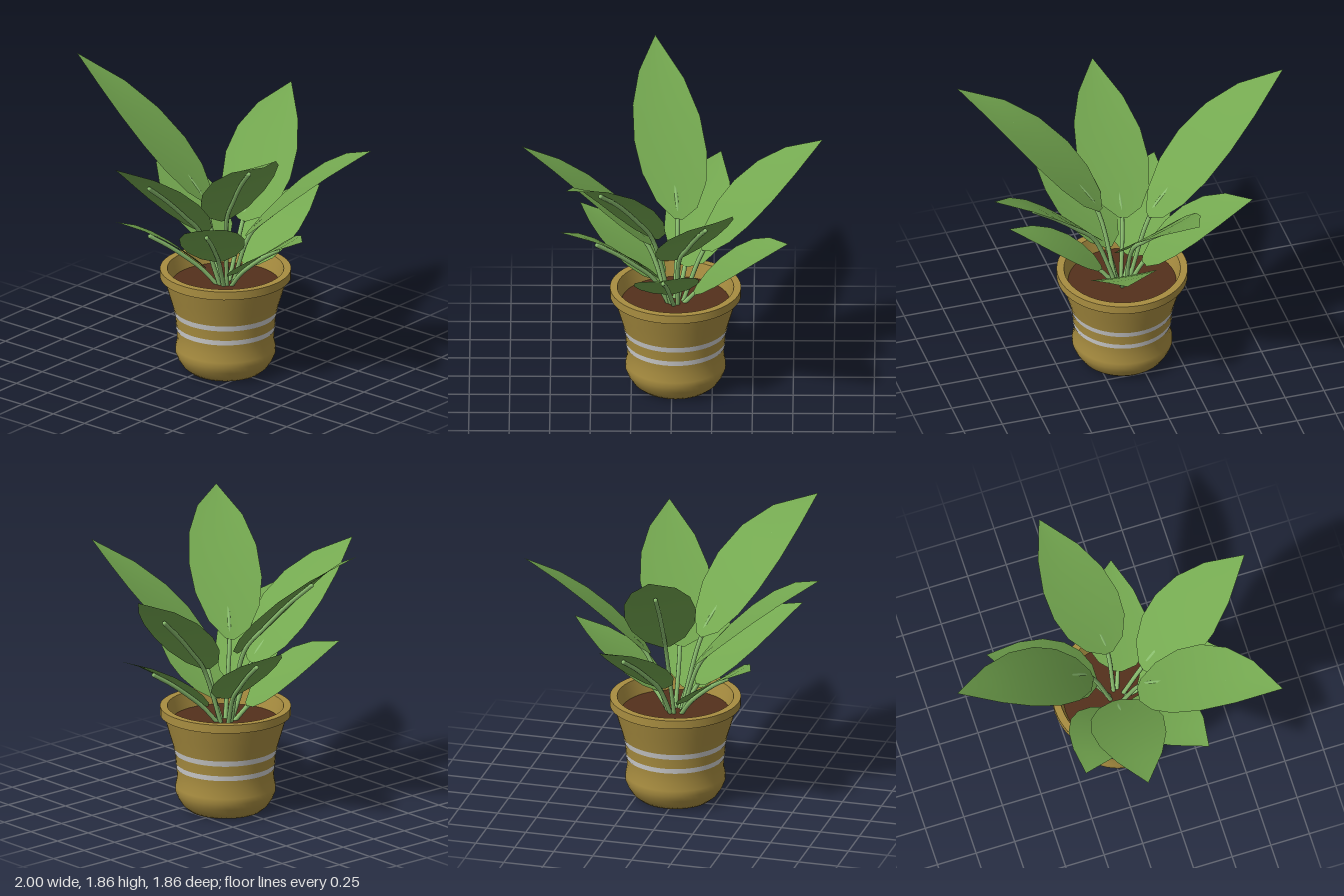
import * as THREE from 'three';

const CX = 0.08, CZ = -0.023; // pot axis
const mat = (color, side = THREE.FrontSide) =>
  new THREE.MeshStandardMaterial({ color, side, roughness: 0.8 });

function lathe(name, points, material) {
  const geo = new THREE.LatheGeometry(points.map(([r, y]) => new THREE.Vector2(r, y)), 48);
  const mesh = new THREE.Mesh(geo, material);
  mesh.name = name;
  mesh.position.set(CX, 0, CZ);
  return mesh;
}

// Half-width along the leaf: [fraction of length, fraction of greatest width]
const OUTLINE = [[0, 0.12], [0.06, 0.56], [0.18, 0.88], [0.33, 1], [0.52, 0.92], [0.73, 0.62], [1, 0]];
const COLS = 6;

// Tip position, height of the blade's base and upward bulge
const LARGE = { width: 0.225, reach: 0.155, shift: -0.035 };
const SMALL = { width: 0.205, reach: 0.125, shift: -0.01 };
const LEAVES = [
  { name: 'largeLeafBack', tip: [-0.14, 1.57, -0.93], base: 0.93, bulge: 0.06, ...LARGE },
  { name: 'largeLeafLeft', tip: [1.0, 1.58, -0.32], base: 0.93, bulge: 0.06, ...LARGE },
  { name: 'largeLeafFrontLeft', tip: [0.94, 1.75, 0.65], base: 1.04, bulge: 0.12, ...LARGE },
  { name: 'largeLeafFront', tip: [-0.02, 1.58, 0.93], base: 0.93, bulge: 0.06, ...LARGE },
  { name: 'largeLeafRight', tip: [-1.0, 1.86, 0.11], base: 1.05, bulge: 0.08, ...LARGE },
  { name: 'smallLeafBack', tip: [0.26, 1.05, -0.72], base: 0.67, bulge: 0.045, ...SMALL },
  { name: 'smallLeafLeft', tip: [0.78, 1.04, 0.08], base: 0.67, bulge: 0.045, ...SMALL },
  { name: 'smallLeafFrontLeft', tip: [0.45, 1.22, 0.69], base: 0.75, bulge: 0.055, ...SMALL },
  { name: 'smallLeafFrontRight', tip: [-0.31, 1.05, 0.57], base: 0.67, bulge: 0.045, ...SMALL },
  { name: 'smallLeafRight', tip: [-0.68, 1.22, -0.3], base: 0.75, bulge: 0.055, ...SMALL },
];

function makeLeaf({ name, tip, base, bulge, width, reach, shift }, leafMat, stemMat) {
  const group = new THREE.Group();
  group.name = name;
  const end = new THREE.Vector3(...tip);
  const dir = new THREE.Vector3(end.x - CX, 0, end.z - CZ).normalize();
  const side = new THREE.Vector3(dir.z, 0, -dir.x);
  const start = new THREE.Vector3(CX, base, CZ).addScaledVector(dir, reach).addScaledVector(side, shift);
  const midline = (t) => {
    const p = start.clone().lerp(end, t);
    p.y += bulge * 4 * t * (1 - t);
    return p;
  };

  // Blade: rows of points across the midline, rolled a little about it
  const along = end.clone().sub(start).setY(0).normalize();
  const across = new THREE.Vector3(along.z, 0.21, -along.x).addScaledVector(along, 0.08);
  const pos = [], index = [];
  OUTLINE.forEach(([t, w], i) => {
    for (let j = 0; j <= COLS; j++) {
      const u = (j / COLS) * 2 - 1;
      const p = midline(t).addScaledVector(across, u * w * width);
      p.y += 0.01 * u * u * w;
      pos.push(p.x, p.y, p.z);
      if (i && j) {
        const d = i * (COLS + 1) + j, c = d - 1, b = d - COLS - 1, a = b - 1;
        index.push(a, c, b, b, c, d);
      }
    }
  });
  const geo = new THREE.BufferGeometry();
  geo.setAttribute('position', new THREE.Float32BufferAttribute(pos, 3));
  geo.setIndex(index);
  geo.computeVertexNormals();
  const blade = new THREE.Mesh(geo, leafMat);
  blade.name = 'leafBlade';

  // Stem rises from the soil and runs on beneath the blade as its midrib
  const path = [new THREE.Vector3(CX, 0.54, CZ).addScaledVector(dir, 0.04)];
  for (const t of [0.02, 0.2, 0.4, 0.6]) {
    const p = midline(t).addScaledVector(along, 0.011);
    p.y -= 0.014;
    path.push(p);
  }
  const curve = new THREE.CatmullRomCurve3(path);
  const stem = new THREE.Mesh(new THREE.TubeGeometry(curve, 24, 0.014, 8), stemMat);
  stem.name = 'stem';
  const cap = new THREE.Mesh(new THREE.SphereGeometry(0.014, 8, 6), stemMat);
  cap.name = 'stemEnd';
  cap.position.copy(path[path.length - 1]);

  group.add(blade, stem, cap);
  return group;
}

export function createModel() {
  const model = new THREE.Group();
  model.name = 'pottedPlant';
  const potMat = mat(0xa88d40), stripeMat = mat(0xcccccc, THREE.DoubleSide);
  const leafMat = mat(0x74a850, THREE.DoubleSide), stemMat = mat(0x8cc070);

  // Pot body, rim and inner wall
  model.add(lathe('potBody', [
    [0, 0], [0.23, 0], [0.265, 0.03], [0.294, 0.075], [0.31, 0.115], [0.309, 0.15],
    [0.299, 0.2], [0.303, 0.27], [0.313, 0.365], [0.32, 0.4], [0.35, 0.5], [0.382, 0.612],
  ], potMat));
  const rim = [[0.375, 0.608], [0.405, 0.608], [0.405, 0.662], [0.36, 0.662], [0.33, 0.55]];
  const rimGroup = new THREE.Group();
  rimGroup.name = 'potRim';
  for (let i = 1; i < rim.length; i++) rimGroup.add(lathe('rimFace', [rim[i - 1], rim[i]], potMat));
  model.add(rimGroup);

  // Two painted bands
  model.add(lathe('lowerStripe', [[0.306, 0.268], [0.309, 0.3]], stripeMat));
  model.add(lathe('upperStripe', [[0.316, 0.365], [0.323, 0.4]], stripeMat));

  // Soil
  const soil = new THREE.Mesh(new THREE.CircleGeometry(0.335, 48), mat(0x54301c));
  soil.name = 'soil';
  soil.rotation.x = -Math.PI / 2;
  soil.position.set(CX, 0.565, CZ);
  model.add(soil);

  for (const leaf of LEAVES) model.add(makeLeaf(leaf, leafMat, stemMat));
  return model;
}
